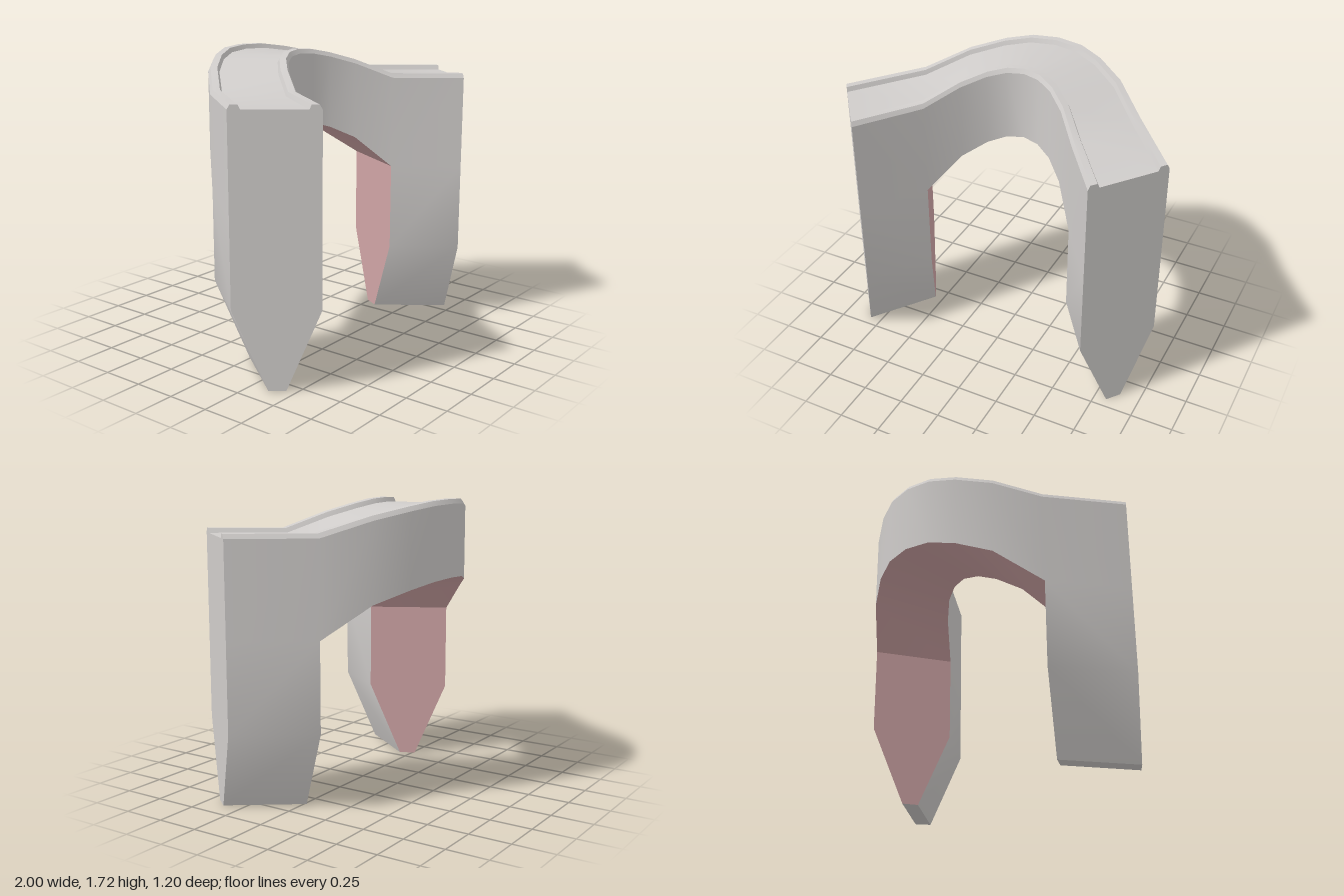
import * as THREE from 'three';
import { toCreasedNormals } from 'three/addons/utils/BufferGeometryUtils.js';

// Stations of the left half, leg end to crown: back edge, front edge, underside and kerb heights
const STATIONS = [
  { back: [-1, 0.215], front: [-0.705, 0.597], under: 0.98, top: 1.557 },
  { back: [-0.695, -0.185], front: [-0.46, 0.245], under: 0.98, top: 1.557 },
  { back: [-0.49, -0.39], front: [-0.315, 0.07], under: 1.165, top: 1.645 },
  { back: [-0.31, -0.515], front: [-0.2, -0.035], under: 1.235, top: 1.69 },
  { back: [-0.16, -0.58], front: [-0.1, -0.09], under: 1.27, top: 1.714 },
  { back: [0, -0.603], front: [0, -0.112], under: 1.28, top: 1.72 },
];
const KERB = 0.026;         // kerb height above the deck
const SHOULDER = 0.46;      // height where the legs start to taper
// Deck profile from back to front: position across, and 1 where it is on top of a kerb
const PROFILE = [[0, 0], [0.03, 1], [0.115, 1], [0.14, 0], [0.86, 0], [0.885, 1], [0.97, 1], [1, 0]];

const pt = (s, u, y) => [
  s.back[0] + (s.front[0] - s.back[0]) * u, y,
  s.back[1] + (s.front[1] - s.back[1]) * u,
];

// Collects quads together with their mirror images
class Surface {
  constructor() { this.pos = []; }
  quad(a, b, c, d) {
    this.pos.push(...a, ...b, ...c, ...a, ...c, ...d);
    const [p, q, r, t] = [a, b, c, d].map(([x, y, z]) => [-x, y, z]);
    this.pos.push(...p, ...r, ...q, ...p, ...t, ...r);
  }
  // Skin between two cross-sections
  skin(s0, s1) {
    for (let k = 0; k < s0.length - 1; k++) this.quad(s0[k], s0[k + 1], s1[k + 1], s1[k]);
  }
  mesh(name, material) {
    const g = new THREE.BufferGeometry();
    g.setAttribute('position', new THREE.Float32BufferAttribute(this.pos, 3));
    const m = new THREE.Mesh(toCreasedNormals(g, 0.48), material);
    m.name = name;
    return m;
  }
}

export function createModel() {
  const stone = new THREE.MeshStandardMaterial({ color: 0xcfccca });
  stone.name = 'pale grey stone';
  const pink = new THREE.MeshStandardMaterial({ color: 0xcfa4a5 });
  pink.name = 'dusty pink';

  const walls = new Surface(), deck = new Surface(), lining = new Surface();

  const deckLine = s => PROFILE.map(([u, k]) => pt(s, u, s.top - KERB * (1 - k)));
  // Back and front edges of a leg from the foot up to the deck
  const legSide = (s, u) => [
    pt(s, u ? 0.6 : 0.4, 0), pt(s, u, SHOULDER), pt(s, u, s.under), pt(s, u, s.top - KERB),
  ];

  // Deck with kerbs, arch walls and arch underside
  for (let i = 0; i < STATIONS.length - 1; i++) {
    const a = STATIONS[i], b = STATIONS[i + 1];
    deck.skin(deckLine(a), deckLine(b));
    if (i === 0) continue;
    const wall = (s, u) => [pt(s, u, s.under), pt(s, u, s.top - KERB)];
    walls.skin(wall(a, 0), wall(b, 0));
    walls.skin(wall(a, 1).reverse(), wall(b, 1).reverse());
    lining.skin([pt(a, 1, a.under), pt(a, 0, a.under)], [pt(b, 1, b.under), pt(b, 0, b.under)]);
  }

  // Legs: long sides, outer end, inner face and foot
  const [end, inner] = STATIONS;
  const eb = legSide(end, 0), ef = legSide(end, 1);
  const ib = legSide(inner, 0), jf = legSide(inner, 1);
  walls.skin(eb, ib);
  walls.skin([...ef].reverse(), [...jf].reverse());
  for (let k = 0; k < 3; k++) walls.quad(eb[k], ef[k], ef[k + 1], eb[k + 1]);
  for (let k = 0; k < 2; k++) lining.quad(jf[k], ib[k], ib[k + 1], jf[k + 1]);
  walls.quad(ib[0], jf[0], ef[0], eb[0]);

  // Kerb end caps
  const p = deckLine(end);
  for (const k of [0, 4]) deck.quad(p[k], p[k + 3], p[k + 2], p[k + 1]);

  const group = new THREE.Group();
  group.name = 'curvedArchBridge';
  group.add(
    walls.mesh('legsAndArchWalls', stone),
    deck.mesh('deckWithKerbs', stone),
    lining.mesh('archLining', pink),
  );
  return group;
}
